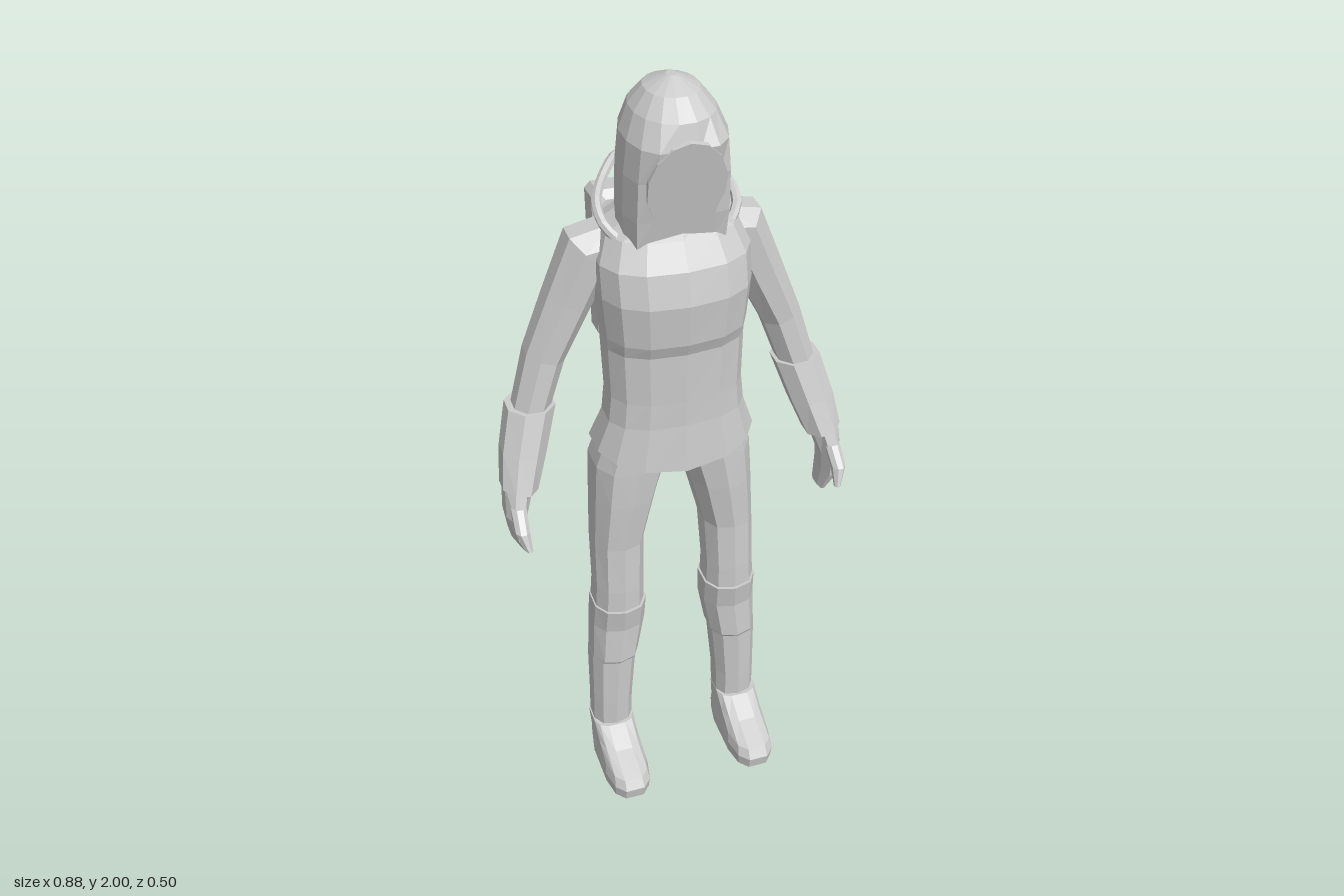
import * as THREE from 'three';

const mat = new THREE.MeshStandardMaterial({ color: 0xcccccc, flatShading: true, side: THREE.DoubleSide });

// Skin a list of rings (listed bottom to top) and cap both ends
function loft(rings) {
  const pos = [];
  const tri = (...p) => p.forEach(v => pos.push(v.x, v.y, v.z));
  const n = rings[0].length;
  const mid = r => r.reduce((a, p) => a.add(p), new THREE.Vector3()).divideScalar(n);
  const last = rings[rings.length - 1], c0 = mid(rings[0]), c1 = mid(last);
  for (let i = 0; i < n; i++) {
    const j = (i + 1) % n;
    for (let k = 0; k < rings.length - 1; k++) {
      const a = rings[k], b = rings[k + 1];
      tri(a[i], b[i], a[j]);
      tri(b[i], b[j], a[j]);
    }
    tri(c0, rings[0][i], rings[0][j]);
    tri(c1, last[j], last[i]);
  }
  const g = new THREE.BufferGeometry();
  g.setAttribute('position', new THREE.Float32BufferAttribute(pos, 3));
  g.computeVertexNormals();
  return g;
}

// Mirrored copy across x with the corner order restored
function mirrorX(geo) {
  const g = geo.clone().scale(-1, 1, 1), p = g.attributes.position;
  const a = new THREE.Vector3(), b = new THREE.Vector3();
  for (let i = 0; i < p.count; i += 3) {
    a.fromBufferAttribute(p, i + 1);
    b.fromBufferAttribute(p, i + 2);
    p.setXYZ(i + 1, b.x, b.y, b.z);
    p.setXYZ(i + 2, a.x, a.y, a.z);
  }
  g.computeVertexNormals();
  return g;
}

const bend = (v, e) => Math.sign(v) * Math.pow(Math.abs(v), e);

// Level ring: height, x range, front z, back z; e < 1 makes it boxier
function ring(y, x0, x1, zf, zb, n = 10, e = 0.85) {
  return Array.from({ length: n }, (_, i) => {
    const a = ((i + 0.5) / n) * Math.PI * 2;
    return new THREE.Vector3(
      (x0 + x1) / 2 + ((x1 - x0) / 2) * bend(Math.cos(a), e), y,
      (zf + zb) / 2 + ((zf - zb) / 2) * bend(Math.sin(a), e));
  });
}

// Limb ring: centre, half width, half depth, tilt about z
function limbRing([x, y, z, ru, rz, t], n = 8) {
  return Array.from({ length: n }, (_, i) => {
    const a = ((i + 0.5) / n) * Math.PI * 2, u = ru * 1.05 * Math.cos(a);
    return new THREE.Vector3(x + u * Math.cos(t), y + u * Math.sin(t), z + rz * 1.05 * Math.sin(a));
  });
}
const limb = list => loft(list.map(r => limbRing(r)).reverse());

export function createModel() {
  const model = new THREE.Group();
  const add = (name, geo, parent = model) => {
    const m = new THREE.Mesh(geo, mat);
    m.name = name;
    parent.add(m);
    return m;
  };
  const pair = (name, geo) => {
    add(name + 'Left', geo);
    add(name + 'Right', mirrorX(geo));
  };

  // Jacket with a hem raised at the sides and a chest fold
  const jacket = [
    [1.02, 0.205, 0.14, -0.12], [1.15, 0.175, 0.13, -0.085], [1.22, 0.168, 0.13, -0.085],
    [1.355, 0.172, 0.132, -0.1], [1.39, 0.175, 0.146, -0.105], [1.5, 0.185, 0.157, -0.12],
    [1.58, 0.185, 0.138, -0.128], [1.64, 0.16, 0.1, -0.135], [1.675, 0.1, 0.08, -0.125],
  ].map(([y, w, f, b]) => ring(y, -w, w, f, b, 14, 0.8));
  jacket[0].forEach(p => { p.y += 0.045 * (p.x / 0.205) ** 2; });
  add('jacket', loft(jacket));

  // Hood, flattened at the front along a leaning plane
  const hood = [
    [1.63, 0.125, 0.15, -0.12], [1.7, 0.128, 0.16, -0.13], [1.8, 0.126, 0.17, -0.132],
    [1.88, 0.118, 0.17, -0.126], [1.935, 0.095, 0.128, -0.105], [1.975, 0.062, 0.082, -0.065],
    [2, 0.012, 0.025, -0.005],
  ].map(([y, w, f, b]) => ring(y, -w, w, f, b, 16, 0.95));
  hood.flat().forEach(p => { p.z = Math.min(p.z, 0.093 + 0.21 * (p.y - 1.66)); });
  add('hood', loft(hood));

  // Oval face panel
  const faceGeo = new THREE.CylinderGeometry(1, 1, 1, 14).rotateX(Math.PI / 2).scale(0.092, 0.118, 0.012);
  const face = add('facePanel', faceGeo);
  face.position.set(0, 1.785, 0.117);
  face.rotation.x = 0.207;

  // Hips between the legs
  add('hips', loft([
    ring(0.95, -0.035, 0.035, 0.03, -0.06), ring(1.0, -0.12, 0.12, 0.09, -0.1), ring(1.08, -0.17, 0.17, 0.1, -0.09),
  ]));

  // Trouser legs: shin section with a lip below the knee, then the upper leg
  pair('lowerLeg', loft([
    [0.08, 0.125, 0.236, 0.075, -0.04], [0.2, 0.122, 0.235, 0.08, -0.042], [0.36, 0.108, 0.234, 0.084, -0.056],
    [0.37, 0.102, 0.232, 0.09, -0.06], [0.48, 0.082, 0.228, 0.088, -0.062], [0.555, 0.08, 0.225, 0.102, -0.06],
  ].map(r => ring(...r))));
  pair('upperLeg', loft([
    [0.54, 0.085, 0.222, 0.094, -0.057], [0.62, 0.086, 0.218, 0.094, -0.05], [0.76, 0.08, 0.216, 0.09, -0.075],
    [0.9, 0.045, 0.21, 0.098, -0.1], [1.0, 0.014, 0.205, 0.1, -0.115], [1.08, 0.014, 0.18, 0.1, -0.1],
  ].map(r => ring(...r))));

  // Boots
  pair('boot', loft([
    [0, 0.12, 0.24, 0.245, -0.042], [0.035, 0.118, 0.242, 0.252, -0.042], [0.06, 0.122, 0.238, 0.235, -0.042],
    [0.09, 0.124, 0.238, 0.15, -0.042], [0.125, 0.124, 0.238, 0.084, -0.042],
  ].map(r => ring(...r, 12, 0.65))));

  // Sleeves, gloves and thumbs
  pair('sleeve', limb([
    [0.11, 1.585, -0.045, 0.065, 0.07, 1.3], [0.185, 1.575, -0.047, 0.068, 0.068, 0.8],
    [0.238, 1.45, -0.05, 0.058, 0.062, 0.4], [0.3, 1.31, -0.05, 0.05, 0.056, 0.36],
    [0.345, 1.17, -0.035, 0.045, 0.05, 0.3],
  ]));
  pair('gloveCuff', limb([
    [0.343, 1.185, -0.037, 0.06, 0.06, 0.05], [0.375, 1.08, -0.002, 0.056, 0.057, 0.15],
    [0.398, 0.995, 0.03, 0.046, 0.054, 0.2],
  ]));
  pair('hand', limb([
    [0.4, 1.01, 0.028, 0.038, 0.046, 0.2], [0.415, 0.93, 0.045, 0.027, 0.058, 0.1],
    [0.412, 0.87, 0.045, 0.021, 0.052, -0.1], [0.397, 0.815, 0.042, 0.01, 0.032, -0.2],
  ]));
  pair('thumb', limb([
    [0.412, 0.965, 0.07, 0.02, 0.024, 0], [0.415, 0.92, 0.115, 0.018, 0.022, 0], [0.405, 0.875, 0.142, 0.008, 0.01, 0],
  ]));

  // Backpack: chamfered case leaning back, outlined across its back face
  const pack = new THREE.Group();
  pack.name = 'backpack';
  pack.position.set(0, 1.455, -0.182);
  pack.rotation.x = -0.075;
  model.add(pack);
  const panel = (w, h, c, z) => [
    [w, h - c], [w - c, h], [c - w, h], [-w, h - c], [-w, c - h], [c - w, -h], [w - c, -h], [w, c - h],
  ].map(([x, y]) => new THREE.Vector3(x, y, z)).reverse();
  add('packCase', loft([
    panel(0.118, 0.175, 0.012, -0.046), panel(0.138, 0.195, 0.015, -0.03),
    panel(0.138, 0.195, 0.015, 0.03), panel(0.118, 0.175, 0.012, 0.046),
  ]), pack);

  // Round dial on the back of the pack
  [[0.075, 0.012, -0.05], [0.052, 0.01, -0.059], [0.022, 0.01, -0.064]].forEach(([r, d, z]) => {
    const dial = new THREE.CylinderGeometry(r * 0.92, r, d, 16).rotateX(-Math.PI / 2);
    add('packDial', dial, pack).position.set(0, 0.02, z);
  });

  // Small vent ribs in opposite corners
  for (const s of [-1, 1]) {
    for (let i = 0; i < 3; i++) {
      add('packVent', new THREE.BoxGeometry(0.03, 0.008, 0.008), pack)
        .position.set(s * 0.09, -s * (0.115 + i * 0.018), -0.047);
    }
  }

  // Air hoses from the pack over the shoulders
  for (const s of [-1, 1]) {
    const path = new THREE.CatmullRomCurve3([
      [0.04, 1.62, -0.2], [0.042, 1.7, -0.198], [0.075, 1.738, -0.165], [0.13, 1.715, -0.1],
      [0.16, 1.69, -0.04], [0.158, 1.66, 0.01], [0.135, 1.635, 0.035],
    ].map(([x, y, z]) => new THREE.Vector3(s * x, y, z)));
    add(s > 0 ? 'hoseLeft' : 'hoseRight', new THREE.TubeGeometry(path, 18, 0.012, 7));
  }

  return model;
}
